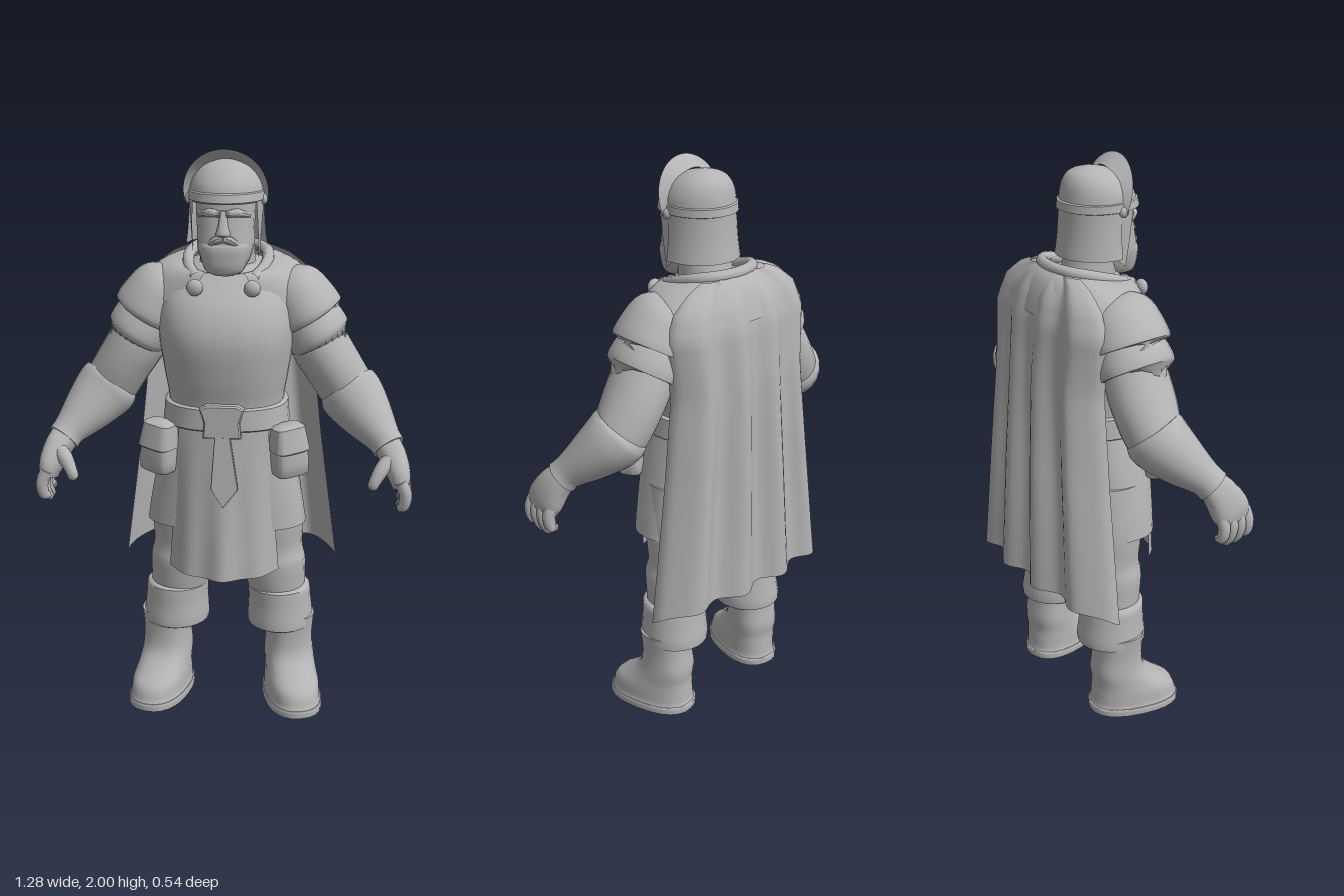
import * as THREE from 'three';
import { toCreasedNormals, mergeGeometries } from 'three/addons/utils/BufferGeometryUtils.js';

const grey = new THREE.MeshStandardMaterial({ color: 0xb4b4b4, side: THREE.DoubleSide });
grey.name = 'stone grey';
const V = (x, y, z) => new THREE.Vector3(x, y, z);
const lerp = THREE.MathUtils.lerp;

function build(verts, index, crease = 0.75) {
  const g = new THREE.BufferGeometry();
  g.setAttribute('position', new THREE.Float32BufferAttribute(verts, 3));
  g.setIndex(index);
  return toCreasedNormals(g, crease);
}

// Solid swept through rows [x, y, z, radiusU, radiusV]; "level" keeps every ring horizontal.
function sweep(rows, { level = false, sub = 5, n = 24, p = 2 } = {}) {
  const centre = new THREE.CatmullRomCurve3(rows.map(r => V(r[0], r[1], r[2])), false, 'catmullrom', 0.5);
  const radii = new THREE.CatmullRomCurve3(rows.map(r => V(r[3], r[4] ?? r[3], 0)), false, 'catmullrom', 0.5);
  const steps = (rows.length - 1) * sub, verts = [], index = [];
  const pw = c => Math.sign(c) * Math.abs(c) ** (2 / p);
  for (let i = 0; i <= steps; i++) {
    const t = i / steps, c = centre.getPoint(t), r = radii.getPoint(t);
    const T = level ? V(0, 1, 0) : centre.getTangent(t);
    const U = V(1, 0, 0).addScaledVector(T, -T.x).normalize();
    const W = U.clone().cross(T);
    for (let j = 0; j < n; j++) {
      const a = j / n * Math.PI * 2;
      const q = c.clone().addScaledVector(U, r.x * pw(Math.cos(a))).addScaledVector(W, r.y * pw(Math.sin(a)));
      verts.push(q.x, q.y, q.z);
    }
  }
  for (let i = 0; i < steps; i++) for (let j = 0; j < n; j++) {
    const a = i * n + j, b = i * n + (j + 1) % n;
    index.push(a, a + n, b, b, a + n, b + n);
  }
  const first = verts.length / 3, a = centre.getPoint(0), b = centre.getPoint(1);
  verts.push(a.x, a.y, a.z, b.x, b.y, b.z);
  for (let j = 0; j < n; j++) {
    const k = (j + 1) % n;
    index.push(first, j, k, first + 1, steps * n + k, steps * n + j);
  }
  return build(verts, index);
}

// Open surface from f(u, v), both 0..1
function sheet(f, nu, nv) {
  const verts = [], index = [];
  for (let i = 0; i <= nv; i++) for (let j = 0; j <= nu; j++) verts.push(...f(j / nu, i / nv));
  for (let i = 0; i < nv; i++) for (let j = 0; j < nu; j++) {
    const a = i * (nu + 1) + j, c = a + nu + 1;
    index.push(a, c, a + 1, a + 1, c, c + 1);
  }
  return build(verts, index, 1);
}

// Mirror a geometry across x and restore its winding
function mirror(geo) {
  const g = (geo.index ? geo.toNonIndexed() : geo.clone()).scale(-1, 1, 1);
  for (const key of ['position', 'normal']) {
    const at = g.attributes[key];
    for (let i = 0; i < at.count; i += 3) {
      const b = V().fromBufferAttribute(at, i + 1), c = V().fromBufferAttribute(at, i + 2);
      at.setXYZ(i + 1, c.x, c.y, c.z);
      at.setXYZ(i + 2, b.x, b.y, b.z);
    }
  }
  return g;
}

// Piecewise-linear lookup in [key, value] rows with falling keys
function along(rows, y) {
  for (let i = 1; i < rows.length; i++) if (y >= rows[i][0]) {
    const [a, b] = [rows[i - 1], rows[i]];
    return lerp(a[1], b[1], (a[0] - y) / (a[0] - b[0]));
  }
  return rows[rows.length - 1][1];
}

export function createModel() {
  const model = new THREE.Group();
  model.name = 'armouredMan';
  const add = (name, geo) => {
    const m = new THREE.Mesh(geo, grey);
    m.name = name;
    model.add(m);
  };
  const pair = (name, geo) => { add(name + 'Left', geo); add(name + 'Right', mirror(geo)); };
  const lvl = (rows, o = {}) => sweep(rows, { level: true, ...o });

  // Boots, cuffs and legs
  const boot = lvl([[0, 0, .065, .103, .17], [0, .025, .065, .103, .17], [0, .032, .065, .096, .162],
    [0, .08, .058, .094, .152], [0, .12, .03, .09, .122], [0, .17, 0, .088, .098],
    [0, .24, -.002, .084, .088], [0, .32, 0, .09, .09]], { p: 2.4, sub: 3 });
  pair('boot', boot.rotateY(.25).translate(.225, 0, 0));
  pair('bootCuff', lvl([[.19, .27, -.005, .09], [.192, .285, -.005, .119, .125], [.19, .33, -.005, .118, .122],
    [.188, .39, -.002, .113, .116], [.185, .43, 0, .112, .114], [.185, .44, 0, .095]], { sub: 2 }));
  pair('leg', lvl([[.18, .4, 0, .1], [.172, .47, .005, .108, .105], [.165, .54, .008, .115, .108],
    [.16, .6, .005, .108, .105], [.15, .72, .01, .12, .115], [.13, .9, .02, .12, .12]]));

  // Tunic and its front panel
  add('tunicSkirt', lvl([[0, .705, .045, .28, .147], [0, .8, .045, .265, .15], [0, .95, .045, .235, .155],
    [0, 1.1, .045, .2, .16]], { p: 2.5, n: 40 }));
  add('frontPanel', sheet((u, v) => {
    const s = u * 2 - 1, w = lerp(.15, .192, v);
    return [s * w, lerp(1.1, .54 + .015 * s * s, v),
      lerp(.212, .25, v) - lerp(.035, .085, v) * s * s + .008 * v * Math.cos(s * 9)];
  }, 28, 12));
  add('torso', lvl([[0, 1.04, .045, .2, .165], [0, 1.15, .042, .197, .168], [0, 1.25, .045, .212, .185],
    [0, 1.38, .045, .23, .2], [0, 1.48, .02, .232, .195], [0, 1.56, 0, .205, .152],
    [0, 1.62, -.01, .12, .11]], { p: 2.4, n: 36 }));
  add('neck', lvl([[0, 1.54, .01, .115, .11], [0, 1.62, .02, .095, .095], [0, 1.72, .04, .09, .09]]));

  // Belt, buckle, hanging strap and pouches
  add('belt', lvl([[0, 1.075, .048, .212, .172], [0, 1.08, .048, .218, .178], [0, 1.15, .046, .212, .176],
    [0, 1.155, .046, .206, .17]], { p: 2.4, n: 36, sub: 1 }));
  const buckle = new THREE.Shape([[-.07, .045], [-.05, .055], [.05, .055], [.07, .045], [.055, 0],
    [.06, -.05], [-.06, -.05], [-.055, 0]].map(q => new THREE.Vector2(...q)));
  const bevel = { bevelThickness: .006, bevelSize: .005, bevelSegments: 1 };
  add('buckle', new THREE.ExtrudeGeometry(buckle, { depth: .025, ...bevel }).translate(0, 1.112, .21));
  const strap = new THREE.Shape([[-.022, 0], [.025, 0], [.055, -.19], [.005, -.255], [-.035, -.19]]
    .map(q => new THREE.Vector2(...q)));
  add('beltStrap', new THREE.ExtrudeGeometry(strap, { depth: .012, ...bevel, bevelSize: .002 })
    .rotateX(-.08).translate(0, 1.07, .222));
  const pouch = mergeGeometries([
    lvl([[0, -.085, 0, .045, .03], [0, -.08, 0, .06, .042], [0, 0, 0, .06, .045], [0, .08, 0, .05, .035],
      [0, .085, 0, .04, .025]], { p: 4, sub: 2 }),
    lvl([[0, .0, .004, .055, .046], [0, .005, .004, .064, .051], [0, .085, 0, .055, .04],
      [0, .092, 0, .045, .03]], { p: 4, sub: 1 })]);
  pair('pouch', pouch.rotateZ(.08).rotateY(.55).translate(.222, 1.0, .16));

  // Shoulder plates, arms and hands
  pair('shoulderPlate', sweep([[.19, 1.575, -.01, .05, .07], [.215, 1.54, -.005, .098, .115],
    [.25, 1.48, 0, .118, .135], [.275, 1.435, .002, .123, .14], [.278, 1.43, .002, .1, .11]], { sub: 3 }));
  pair('sleeve', sweep([[.25, 1.46, 0, .1, .11], [.285, 1.405, .002, .112, .13], [.312, 1.362, .004, .112, .133],
    [.316, 1.356, .004, .09, .1]], { sub: 3 }));
  pair('upperArm', sweep([[.26, 1.44, 0, .09], [.31, 1.34, 0, .1, .11], [.36, 1.26, -.002, .098, .112],
    [.41, 1.18, .0, .096, .1], [.45, 1.13, .02, .09]]));
  pair('forearmGuard', sweep([[.405, 1.185, -.004, .085, .085], [.412, 1.176, 0, .106, .106],
    [.44, 1.145, .018, .108, .105], [.49, 1.09, .065, .088, .085], [.542, 1.035, .118, .06, .06],
    [.56, 1.012, .136, .058, .06]], { sub: 4 }));
  const hand = [sweep([[.545, 1.03, .122, .048], [.575, .985, .155, .046, .06], [.596, .93, .182, .04, .07],
    [.604, .89, .195, .028, .062]], { p: 2.5 })];
  for (let i = 0; i < 4; i++) {
    const z = .14 + i * .033, drop = [.02, 0, 0, .015][i];
    hand.push(sweep([[.6, .925, z, .022], [.618, .885, z + .003, .022], [.616, .845, z, .02],
      [.604, .815 + drop, z - .006, .016], [.599, .805 + drop, z - .008, .006]], { n: 10, sub: 3 }));
  }
  hand.push(sweep([[.57, .99, .185, .028], [.54, .965, .215, .026], [.518, .93, .235, .021],
    [.508, .905, .24, .018], [.505, .895, .24, .006]], { n: 12, sub: 3 }));
  pair('hand', mergeGeometries(hand));

  // Head and beard
  add('head', lvl([[0, 1.6, .11, .04, .05], [0, 1.62, .1, .07, .083], [0, 1.68, .085, .093, .105],
    [0, 1.74, .08, .095, .102], [0, 1.8, .075, .098, .098], [0, 1.86, .07, .1, .1]], { p: 2.5 }));
  add('beard', lvl([[0, 1.595, .13, .035, .035], [0, 1.612, .13, .064, .056], [0, 1.66, .125, .08, .068],
    [0, 1.695, .125, .084, .066], [0, 1.715, .11, .08, .06]], { p: 2.6 }));
  add('nose', lvl([[0, 1.725, .17, .022, .02], [0, 1.735, .182, .025, .026], [0, 1.765, .178, .016, .02],
    [0, 1.81, .165, .013, .016]], { n: 12, sub: 3 }));
  pair('moustache', sweep([[0, 1.722, .186, .013], [.03, 1.712, .18, .014], [.058, 1.685, .158, .006]], { n: 8 }));
  pair('brow', sweep([[.008, 1.798, .178, .01], [.045, 1.803, .17, .014], [.082, 1.79, .135, .008]], { n: 8 }));

  // Helmet: dome, brim, neck guard, cheek guards and raised visor
  add('helmetDome', lvl([[0, 1.83, .055, .122, .133], [0, 1.88, .052, .12, .126], [0, 1.925, .04, .1, .104],
    [0, 1.955, .028, .065, .068], [0, 1.972, .02, .006, .006]], { n: 32 }));
  add('helmetBrim', lvl([[0, 1.832, .056, .12, .13], [0, 1.836, .056, .128, .142], [0, 1.862, .054, .126, .137],
    [0, 1.866, .054, .12, .128]], { n: 32, sub: 1 }));
  const guard = (a0, a1, y0, y1, flare) => sheet((u, v) => {
    const a = lerp(a0, a1, u), r = 1 + flare * v * v;
    return [.123 * r * Math.sin(a), lerp(y0, y1, v), .055 - .132 * r * Math.cos(a)];
  }, 24, 8);
  add('neckGuard', guard(-1.65, 1.65, 1.85, 1.68, .1));
  pair('cheekGuard', sheet((u, v) => {
    const a = lerp(1.5, 2.15 - .35 * v, u);
    return [(.124 - .012 * v) * Math.sin(a), lerp(1.84, 1.645 + .03 * (1 - u), v), .055 - .13 * Math.cos(a) + .01 * v];
  }, 8, 8));
  add('visor', sheet((u, v) => {
    const a = lerp(-1.8, 1.8, u), r = lerp(.104, .14, v);
    return [r * Math.sin(a), 1.86 + r * Math.cos(a), .055 + .022 * Math.cos(a) + .055 * v * (.6 + .4 * Math.cos(a))];
  }, 32, 4));
  pair('visorHinge', new THREE.SphereGeometry(.018, 12, 8).scale(.7, 1, 1).translate(.124, 1.835, .075));

  // Cape: shoulder mantle, rolled collar, clasps and folded back
  add('mantle', sheet((u, v) => {
    const a = lerp(-Math.PI + .32, Math.PI - .32, u), front = (1 - Math.cos(a)) / 2;
    return [(.12 + .2 * v) * Math.sin(a), 1.66 - .02 * v - .125 * v ** 3 - .07 * front * (1 - v * .8),
      -.03 * v - (.115 + .07 * v) * Math.cos(a) + .012 * front];
  }, 48, 10));
  const collar = [];
  for (let i = 0; i <= 12; i++) {
    const a = lerp(-Math.PI + .75, Math.PI - .75, i / 12), front = (1 - Math.cos(a)) / 2;
    collar.push(V((.13 + .01 * front) * Math.sin(a), 1.655 - .1 * front ** 2, -.01 - lerp(.12, .2, front) * Math.cos(a)));
  }
  add('capeCollar', new THREE.TubeGeometry(new THREE.CatmullRomCurve3(collar), 48, .02, 10));
  pair('clasp', new THREE.SphereGeometry(.028, 14, 10).scale(1, 1, .7).translate(.095, 1.557, .172));
  const width = [[1.66, .12], [1.63, .2], [1.58, .27], [1.5, .305], [1.3, .29], [1.0, .325], [.4, .41]];
  const depth = [[1.66, .02], [1.63, .05], [1.58, .085], [1.5, .11], [1.3, .125], [.4, .155]];
  add('cape', sheet((u, v) => {
    const s = u * 2 - 1, a = s * Math.PI / 2, sx = Math.sin(a);
    const y = 1.65 - 1.12 * v ** 1.1, w = along(width, y), d = along(depth, y);
    const fold = Math.cos(sx * Math.PI * 4) * (.006 + .018 * Math.min(1, v * 1.6));
    const hem = -.06 * Math.abs(s) ** 3 * v;
    return [w * sx, y + hem, -.11 - d * Math.cos(a) ** .7 + fold * Math.cos(a) ** .4];
  }, 72, 36));

  return model;
}
